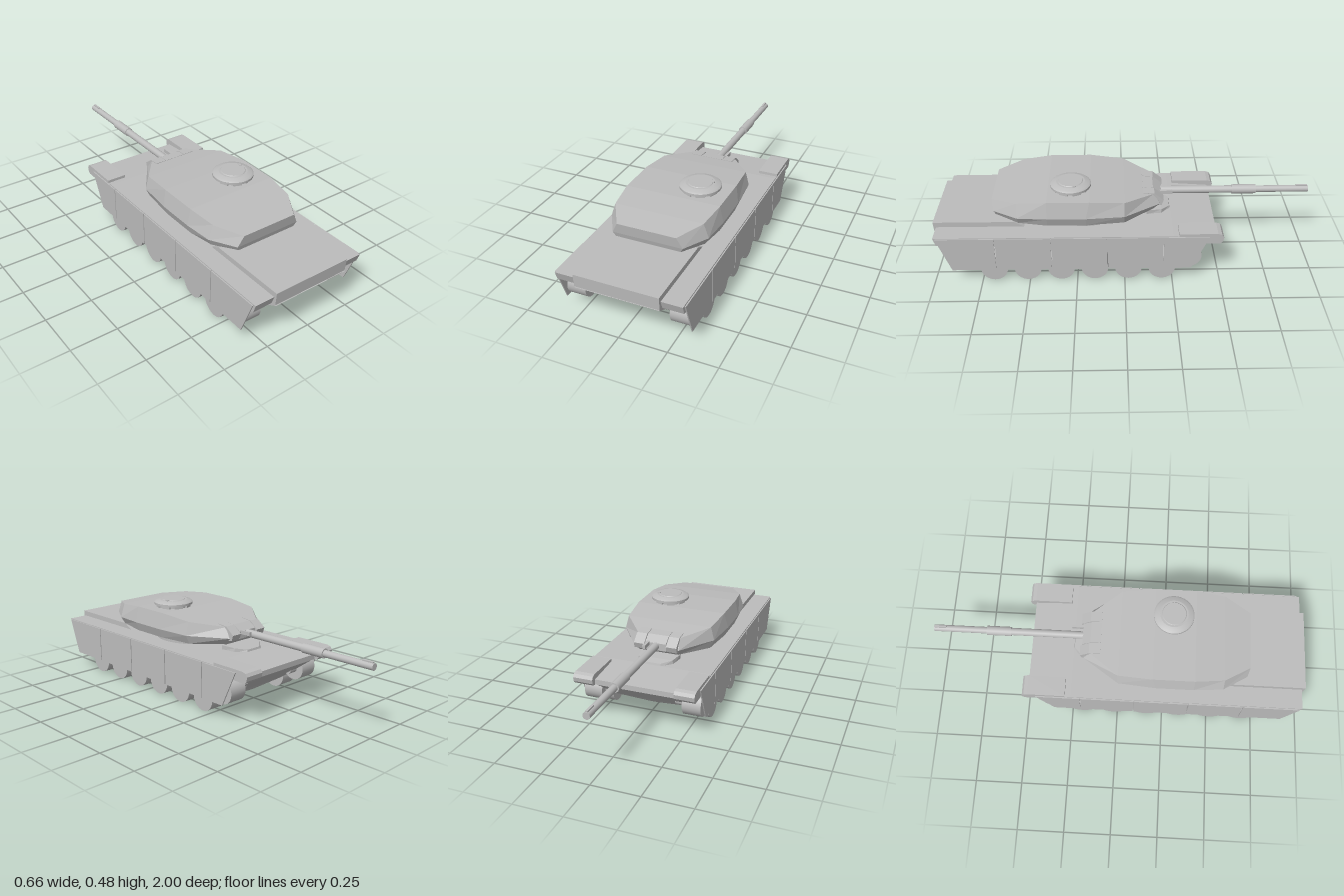
import * as THREE from 'three';

export function createModel() {
  const model = new THREE.Group();
  const grey = new THREE.MeshStandardMaterial({ color: 0xbcbcbc });
  grey.name = 'plain grey';

  const add = (name, geometry, x = 0, y = 0, z = 0, parent = model) => {
    const mesh = new THREE.Mesh(geometry, grey);
    mesh.name = name;
    mesh.position.set(x, y, z);
    parent.add(mesh);
    return mesh;
  };
  const box = (w, h, d) => new THREE.BoxGeometry(w, h, d);

  // Extrudes a [z, y] side profile across x0..x1
  const sideExtrude = (profile, x0, x1) => {
    const shape = new THREE.Shape(profile.map(([z, y]) => new THREE.Vector2(z, y)));
    const g = new THREE.ExtrudeGeometry(shape, { depth: x1 - x0, bevelEnabled: false });
    return g.rotateY(-Math.PI / 2).translate(x1, 0, 0);
  };

  // Stacks symmetric rings, bottom to top; each lists its +x half [x, y, z] from +z to -z
  const loftRings = (rings) => {
    const pos = [];
    const quad = (a, b, c, d) => pos.push(...a, ...b, ...c, ...a, ...c, ...d);
    const mirror = ([x, y, z]) => [-x, y, z];
    const full = rings.map((h) => [...h, ...h.map(mirror).reverse()]);
    for (let r = 0; r < full.length - 1; r++) {
      const lo = full[r], hi = full[r + 1], n = lo.length;
      for (let i = 0; i < n; i++) {
        const j = (i + 1) % n;
        quad(lo[i], lo[j], hi[j], hi[i]);
      }
    }
    const top = rings[rings.length - 1], bottom = rings[0];
    for (let i = 0; i < top.length - 1; i++) {
      quad(top[i], top[i + 1], mirror(top[i + 1]), mirror(top[i]));
      quad(mirror(bottom[i]), mirror(bottom[i + 1]), bottom[i + 1], bottom[i]);
    }
    const g = new THREE.BufferGeometry();
    g.setAttribute('position', new THREE.Float32BufferAttribute(pos, 3));
    g.computeVertexNormals();
    return g;
  };

  // Hull tub with a shallow V belly, sloped at both ends
  add('lowerHull', loftRings([
    [[0.02, 0.042, 0.69], [0.02, 0.042, -0.23]],
    [[0.1, 0.055, 0.7], [0.1, 0.055, -0.245]],
    [[0.217, 0.07, 0.72], [0.217, 0.07, -0.26]],
    [[0.217, 0.226, 1.0], [0.217, 0.226, -0.48]],
  ]));

  // Deck slab and raised engine deck
  add('deck', sideExtrude(
    [[0.985, 0.267], [-0.25, 0.267], [-0.48, 0.25], [-0.48, 0.222], [0.97, 0.222]], -0.324, 0.324));
  add('engineDeck', sideExtrude(
    [[1.0, 0.295], [0.58, 0.295], [0.515, 0.262], [0.515, 0.23], [0.995, 0.226]], -0.217, 0.217));
  for (const x of [-0.027, 0.027]) add('towPlate', box(0.048, 0.006, 0.07), x, 0.071, 0.735);

  // Driver hatch ahead of the turret
  add('driverHatch', loftRings([
    [[0.11, 0.26, -0.12], [0.1, 0.26, -0.2], [0.05, 0.26, -0.25]],
    [[0.11, 0.29, -0.12], [0.095, 0.286, -0.2], [0.045, 0.278, -0.245]],
  ]));

  // Running gear, skirts and front fenders on both sides
  const seamsTop = [0.975, 0.67, 0.38, 0.09, -0.2, -0.44];
  const seamsLow = [0.905, 0.67, 0.38, 0.09, -0.2, -0.35];
  const wheels = [[0.84, 0.135, 0.066], [-0.335, 0.14, 0.066]];
  for (let i = 0; i < 6; i++) wheels.push([0.685 - i * 0.176, 0.07, 0.07]);
  for (const side of [1, -1]) {
    const label = side > 0 ? 'left' : 'right';
    for (const [z, y, r] of wheels) {
      const wheel = new THREE.CylinderGeometry(r, r, 0.1, 32).rotateZ(Math.PI / 2);
      const axle = new THREE.CylinderGeometry(0.025, 0.025, 0.06, 16).rotateZ(Math.PI / 2);
      add(label + 'Wheel', wheel, side * 0.27, y, z);
      add(label + 'Axle', axle, side * 0.2, y, z);
    }
    const span = side > 0 ? [0.326, 0.332] : [-0.332, -0.326];
    for (let i = 0; i < 5; i++) {
      const gap = 0.003;
      add(label + 'SkirtPanel', sideExtrude([
        [seamsTop[i] - gap, 0.264], [seamsTop[i + 1] + gap, 0.264],
        [seamsLow[i + 1] + gap, 0.072], [seamsLow[i] - gap, 0.072]], ...span));
    }
    // Rail joining the skirt panels to the deck edge
    add(label + 'SkirtRail', box(0.008, 0.02, 1.38), side * 0.324, 0.25, 0.27);
    add(label + 'Fender', sideExtrude([
      [-0.28, 0.23], [-0.28, 0.28], [-0.48, 0.28], [-0.5, 0.274], [-0.511, 0.258],
      [-0.507, 0.235], [-0.495, 0.222], [-0.45, 0.222]],
    ...(side > 0 ? [0.218, 0.325] : [-0.325, -0.218])));
  }

  // Turret on its ring
  const turret = new THREE.Group();
  turret.name = 'turret';
  model.add(turret);
  add('turretRing', new THREE.CylinderGeometry(0.22, 0.22, 0.04, 48), 0, 0.28, 0.21, turret);
  add('turretShell', loftRings([
    [[0.172, 0.318, 0.675], [0.24, 0.305, 0.55], [0.255, 0.295, 0.4], [0.255, 0.295, 0.2],
      [0.235, 0.298, 0], [0.11, 0.302, -0.155]],
    [[0.185, 0.343, 0.682], [0.262, 0.345, 0.555], [0.274, 0.345, 0.4], [0.274, 0.345, 0.2],
      [0.257, 0.345, 0], [0.125, 0.342, -0.19]],
    [[0.155, 0.4, 0.69], [0.236, 0.419, 0.555], [0.255, 0.433, 0.4], [0.255, 0.433, 0.18],
      [0.238, 0.417, 0], [0.115, 0.396, -0.155]],
  ]), 0, 0, 0, turret);

  // Gun mantlet with cheek blocks
  add('mantlet', sideExtrude(
    [[-0.1, 0.405], [-0.155, 0.4], [-0.2, 0.37], [-0.2, 0.33], [-0.1, 0.32]], -0.058, 0.058),
  0, 0, 0, turret);
  for (const x of [-0.09, 0.09]) {
    add('cheekBlock', sideExtrude(
      [[-0.1, 0.406], [-0.16, 0.4], [-0.21, 0.36], [-0.2, 0.33], [-0.1, 0.32]], x - 0.029, x + 0.029),
    0, 0, 0, turret);
  }
  add('gunSight', box(0.015, 0.02, 0.07), 0.042, 0.365, -0.225, turret);

  // Barrel: [radius, z start, z end]
  const barrel = [
    ['barrelBase', 0.02, -0.15, -0.59],
    ['boreEvacuator', 0.025, -0.585, -0.715],
    ['barrelTip', 0.018, -0.71, -1.0],
  ];
  for (const [name, r, z0, z1] of barrel) {
    add(name, new THREE.CylinderGeometry(r, r, z0 - z1, 24).rotateX(Math.PI / 2),
      0, 0.353, (z0 + z1) / 2, turret);
  }
  add('muzzleSight', box(0.012, 0.008, 0.06), 0, 0.372, -0.965, turret);

  // Commander cupola with a ring of vision blocks and a domed cap
  const cupola = new THREE.Group();
  cupola.name = 'cupola';
  cupola.position.set(0.1, 0, 0.28);
  turret.add(cupola);
  add('cupolaBase', new THREE.CylinderGeometry(0.085, 0.085, 0.035, 40), 0, 0.435, 0, cupola);
  for (let i = 0; i < 8; i++) {
    const a = (i + 0.5) * Math.PI / 4;
    const block = add('visionBlock', box(0.045, 0.022, 0.02),
      Math.sin(a) * 0.083, 0.438, Math.cos(a) * 0.083, cupola);
    block.rotation.y = a;
  }
  // Repeated rim points keep the lathe edges sharp
  const cap = [[0, 0.448], [0.107, 0.448], [0.107, 0.448], [0.107, 0.46], [0.107, 0.46],
    [0.098, 0.467], [0.075, 0.473], [0.075, 0.473], [0, 0.473]];
  add('cupolaCap', new THREE.LatheGeometry(cap.map(([x, y]) => new THREE.Vector2(x, y)), 40),
    0, 0, 0, cupola);
  add('cupolaHatch', new THREE.CylinderGeometry(0.062, 0.066, 0.004, 32), 0, 0.474, 0, cupola);
  add('hatchHandle', box(0.015, 0.005, 0.015), 0.06, 0.475, -0.02, cupola);

  return model;
}
